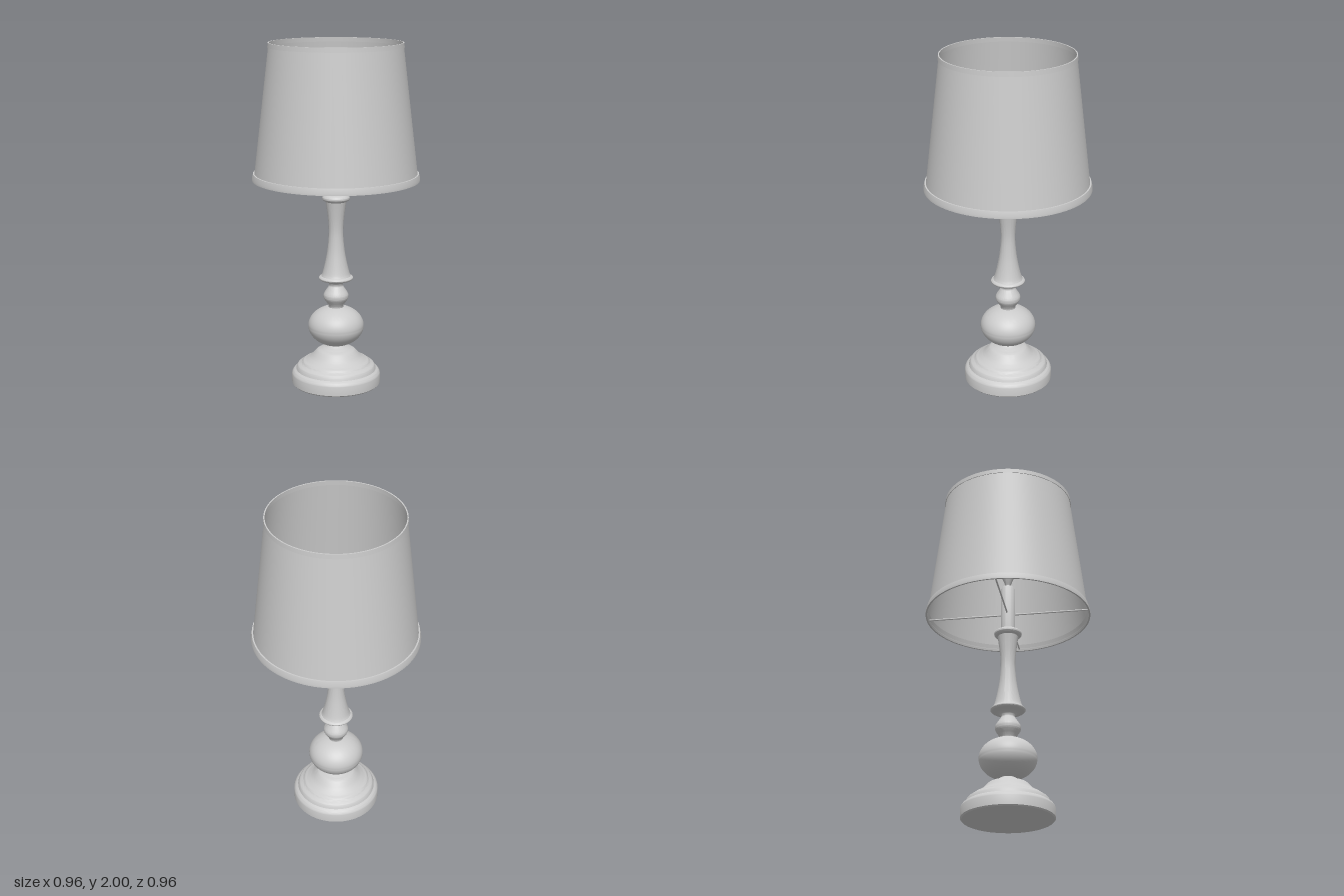
import * as THREE from 'three';
import { toCreasedNormals } from 'three/addons/utils/BufferGeometryUtils.js';

const material = new THREE.MeshStandardMaterial({ color: 0xcccccc });
const thinMaterial = new THREE.MeshStandardMaterial({ color: 0xcccccc, side: THREE.DoubleSide });

const vectors = (points) => points.map(([r, y]) => new THREE.Vector2(r, y));

// Smooth run of profile points through the given ones
const curve = (points, steps = 24) => new THREE.SplineCurve(vectors(points)).getPoints(steps);

// Half ellipse from the lower radius to the upper one, bulging out to rMax
function bulge(rMax, yMid, half, rEnd, steps = 24) {
  const end = Math.acos(rEnd / rMax);
  return Array.from({ length: steps + 1 }, (_, i) => {
    const a = -end + (2 * end * i) / steps;
    return new THREE.Vector2(rMax * Math.cos(a), yMid + (half * Math.sin(a)) / Math.sin(end));
  });
}

function turned(name, profile, mat = material, segments = 80) {
  const geometry = toCreasedNormals(new THREE.LatheGeometry(profile, segments), 0.6);
  const mesh = new THREE.Mesh(geometry, mat);
  mesh.name = name;
  return mesh;
}

export function createModel() {
  const lamp = new THREE.Group();
  lamp.name = 'tableLamp';

  // Stepped foot
  lamp.add(turned('foot', [
    ...vectors([[0, 0], [0.253, 0], [0.26, 0.007], [0.26, 0.06]]),
    ...curve([[0.258, 0.066], [0.25, 0.078], [0.235, 0.088]], 8),
    ...curve([[0.232, 0.097], [0.224, 0.112], [0.205, 0.123]], 8),
    ...curve([[0.2, 0.126], [0.193, 0.135], [0.178, 0.142]], 8),
    ...curve([[0.172, 0.146], [0.148, 0.163], [0.127, 0.185], [0.108, 0.203], [0.083, 0.212]], 16),
    ...curve([[0.078, 0.216], [0.058, 0.223], [0.045, 0.235], [0.045, 0.25]], 10),
  ]));

  // Turned balls
  lamp.add(turned('largeBall', bulge(0.163, 0.35, 0.115, 0.045, 32)));
  lamp.add(turned('smallBall', [
    ...curve([[0.045, 0.455], [0.041, 0.465], [0.05, 0.485]], 8),
    ...curve([[0.056, 0.493], [0.07, 0.515], [0.073, 0.53], [0.07, 0.546], [0.052, 0.575], [0.04, 0.592]], 20),
    ...curve([[0.039, 0.6], [0.045, 0.612], [0.065, 0.622], [0.085, 0.628]], 10),
  ]));

  // Flared column with its collars
  lamp.add(turned('lowerCollar', [
    new THREE.Vector2(0.03, 0.627), ...bulge(0.1, 0.64, 0.013, 0.086, 10), new THREE.Vector2(0.03, 0.653),
  ]));
  lamp.add(turned('column', curve([
    [0.088, 0.648], [0.078, 0.672], [0.063, 0.735], [0.05, 0.81], [0.042, 0.9],
    [0.044, 0.97], [0.052, 1.04], [0.061, 1.1],
  ], 32)));
  lamp.add(turned('upperCollar', [
    new THREE.Vector2(0.03, 1.094), ...bulge(0.08, 1.114, 0.02, 0.062, 14), new THREE.Vector2(0.03, 1.134),
  ]));

  // Socket tube and bulb
  lamp.add(turned('socketTube', vectors([
    [0.041, 1.12], [0.041, 1.405], [0.034, 1.418], [0, 1.418],
  ]), material, 40));
  lamp.add(turned('bulb', curve([
    [0.013, 1.415], [0.014, 1.43], [0.022, 1.45], [0.035, 1.485],
    [0.043, 1.525], [0.037, 1.56], [0.02, 1.58], [0, 1.586],
  ], 28), material, 40));

  // Tapered fabric shade, open at both ends
  lamp.add(turned('shade', vectors([[0.468, 1.235], [0.378, 1.985]]), thinMaterial, 96));
  // Closed trim bands along the rims
  const bands = [
    ['topTrim', [[0.376, 1.974], [0.383, 1.974], [0.381, 2], [0.374, 2], [0.376, 1.974]]],
    ['bottomTrim', [[0.471, 1.224], [0.48, 1.224], [0.48, 1.236], [0.473, 1.262], [0.462, 1.262], [0.471, 1.224]]],
  ];
  for (const [name, points] of bands) lamp.add(turned(name, vectors(points), material, 96));

  // Four wire spokes carrying the shade
  const spokes = new THREE.Group();
  spokes.name = 'shadeSpokes';
  const wire = new THREE.CylinderGeometry(0.005, 0.005, 0.47, 10);
  wire.rotateZ(Math.PI / 2).translate(0.235, 1.238, 0);
  for (let i = 0; i < 4; i++) {
    const spoke = new THREE.Mesh(wire, material);
    spoke.name = 'spoke';
    spoke.rotation.y = (i * Math.PI) / 2;
    spokes.add(spoke);
  }
  lamp.add(spokes);

  return lamp;
}
